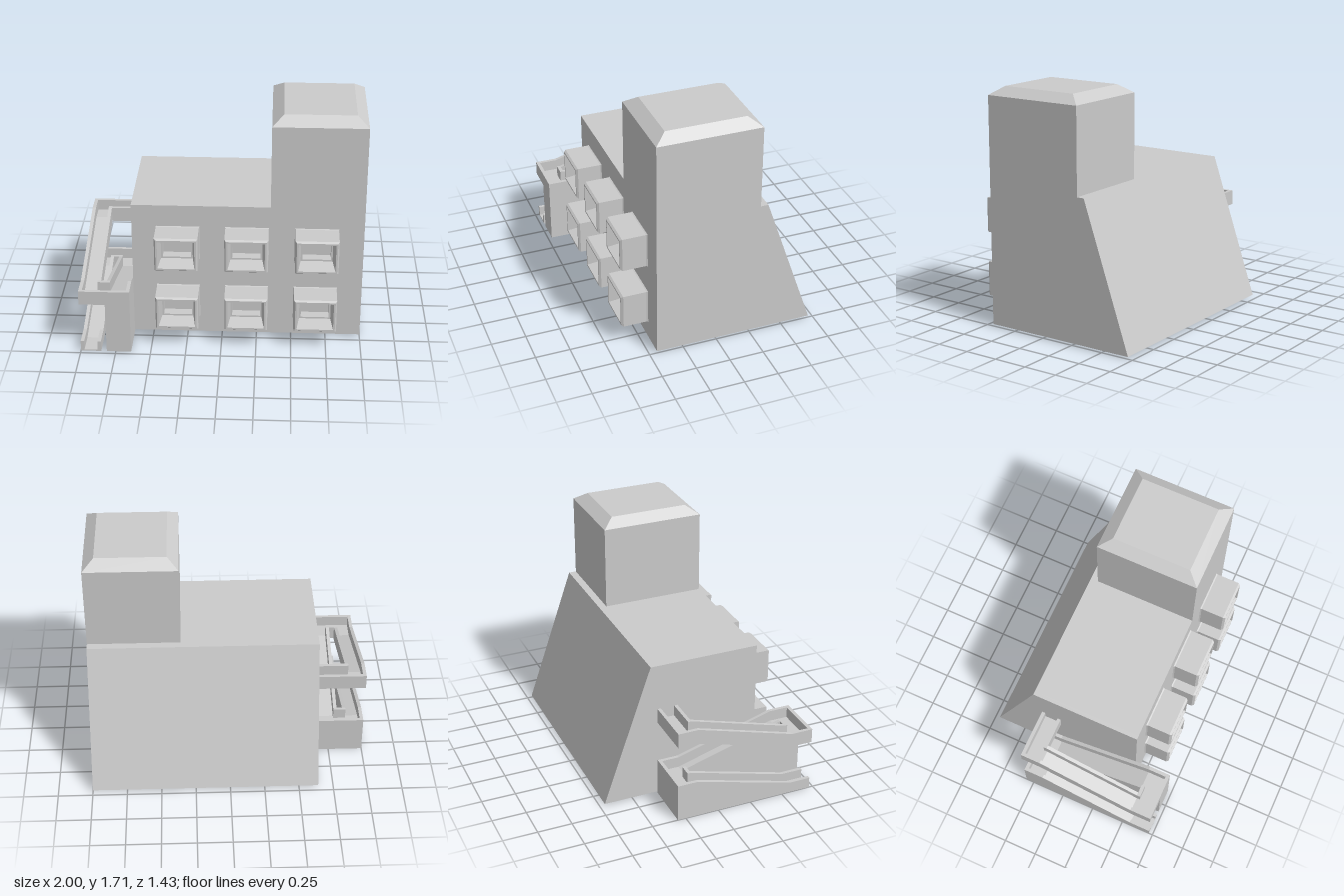
import * as THREE from 'three';

const mat = new THREE.MeshStandardMaterial({ color: 0xcccccc, flatShading: true });

function add(parent, name, geometry) {
  const mesh = new THREE.Mesh(geometry, mat);
  mesh.name = name;
  parent.add(mesh);
  return mesh;
}

// Box given by its limits on each axis
function box(parent, name, x0, x1, y0, y1, z0, z1) {
  const g = new THREE.BoxGeometry(x1 - x0, y1 - y0, z1 - z0);
  g.translate((x0 + x1) / 2, (y0 + y1) / 2, (z0 + z1) / 2);
  return add(parent, name, g);
}

// Side profile of [z, y] points, extruded from x0 to x1
function prism(parent, name, points, x0, x1, hole) {
  const to2D = ([z, y]) => new THREE.Vector2(-z, y);
  const shape = new THREE.Shape(points.map(to2D));
  if (hole) shape.holes.push(new THREE.Path(hole.map(to2D)));
  const g = new THREE.ExtrudeGeometry(shape, { depth: x1 - x0, bevelEnabled: false });
  g.rotateY(Math.PI / 2).translate(x0, 0, 0);
  return add(parent, name, g);
}

// Skin over rectangles [halfWidth, halfHeight, z], closed at the last one
function rectLoft(rings) {
  const pos = [];
  const corners = ([w, h, z]) => [[-w, -h, z], [w, -h, z], [w, h, z], [-w, h, z]];
  const quad = (a, b, c, d) => pos.push(...a, ...b, ...c, ...a, ...c, ...d);
  for (let i = 0; i < rings.length - 1; i++) {
    const a = corners(rings[i]), b = corners(rings[i + 1]);
    for (let k = 0; k < 4; k++) {
      const n = (k + 1) % 4;
      quad(a[k], a[n], b[n], b[k]);
    }
  }
  quad(...corners(rings[rings.length - 1]));
  const g = new THREE.BufferGeometry();
  g.setAttribute('position', new THREE.Float32BufferAttribute(pos, 3));
  g.computeVertexNormals();
  return g;
}

function createBuilding() {
  const g = new THREE.Group();
  g.name = 'building';
  // Main block with sloping back; thin side wall carries the doorway
  const profile = [[0.445, 0.015], [0.445, 1.04], [-0.36, 1.04], [-0.715, 0.015]];
  const door = [[-0.18, 0.62], [-0.18, 0.84], [-0.285, 0.84], [-0.285, 0.62]];
  prism(g, 'mainBlock', profile, -0.61, 1);
  prism(g, 'doorWall', profile, -0.64, -0.61, door);

  // Tower with chamfered roof
  const tower = add(g, 'tower', rectLoft([
    [0.33, 0.375, 0.02], [0.33, 0.375, 1.65], [0.25, 0.288, 1.71],
  ]));
  tower.rotation.x = -Math.PI / 2;
  tower.position.set(0.67, 0, 0.07);

  // Projecting box windows with splayed recesses
  const windowGeometry = rectLoft([
    [0.158, 0.132, 0.44], [0.152, 0.127, 0.455], [0.152, 0.127, 0.625],
    [0.142, 0.117, 0.64], [0.13, 0.105, 0.64], [0.112, 0.08, 0.53],
    [0.1, 0.068, 0.53], [0.1, 0.068, 0.46],
  ]);
  for (const x of [-0.315, 0.175, 0.668]) {
    for (const y of [0.275, 0.748]) add(g, 'window', windowGeometry).position.set(x, y, 0);
  }
  return g;
}

function createStairs() {
  const g = new THREE.Group();
  g.name = 'stairs';
  const F = 0.72, f = 0.56, b = -0.16, B = -0.31; // front and back landing limits
  const out0 = -1, out1 = -0.855, in0 = -0.815, in1 = -0.64, t = 0.025;

  // Lower flight, solid to the ground
  prism(g, 'lowerFlight', [[F, 0], [F, 0.01], [f, 0.01], [b, 0.2], [b, 0]], out0 + t, out1 - t);
  prism(g, 'lowerOuterParapet',
    [[F, 0], [F, 0.08], [f, 0.08], [b, 0.28], [B, 0.28], [B, 0]], out0, out0 + t);
  prism(g, 'lowerInnerParapet', [[F, 0], [F, 0.08], [f, 0.08], [b, 0.28], [b, 0]], out1 - t, out1);

  // Back lower landing
  box(g, 'lowerLanding', out0 + t, in1, 0, 0.2, B + t, b);
  box(g, 'lowerLandingParapet', out0 + t, in1, 0, 0.28, B, B + t);
  box(g, 'lowerSlotParapet', out1 - t, in0 + t, 0.2, 0.28, b - t, b);

  // Middle flight beside the building, solid to the ground
  prism(g, 'middleFlight', [[b, 0], [b, 0.2], [f, 0.41], [F, 0.41], [F, 0]], in0 + t, in1 - t);
  prism(g, 'middleOuterParapet',
    [[b, 0], [b, 0.28], [f, 0.49], [f, 0.41], [F, 0.41], [F, 0]], in0, in0 + t);
  prism(g, 'middleWallParapet',
    [[B, 0], [B, 0.28], [b, 0.28], [f, 0.49], [F, 0.49], [F, 0]], in1 - t, in1);

  // Front middle landing
  box(g, 'middleLanding', out0 + t, in1 - t, 0.385, 0.41, f, F - t);
  box(g, 'middleLandingParapet', out0 + t, in1 - t, 0.385, 0.49, F - t, F);
  box(g, 'middleSlotParapet', out1 - t, in0 + t, 0.385, 0.49, f, f + t);

  // Upper flight, open underneath
  prism(g, 'upperFlight', [[f, 0.385], [f, 0.41], [b, 0.62], [b, 0.59]], out0 + t, out1 - t);
  prism(g, 'upperOuterParapet', [
    [F, 0.385], [F, 0.49], [f, 0.49], [b, 0.7], [B, 0.7], [B, 0.59], [b, 0.59], [f, 0.385],
  ], out0, out0 + t);
  prism(g, 'upperInnerParapet', [[f, 0.385], [f, 0.49], [b, 0.7], [b, 0.59]], out1 - t, out1);

  // Back upper landing leading to the doorway
  box(g, 'upperLanding', out0 + t, in1, 0.59, 0.62, B + t, b);
  box(g, 'upperLandingParapet', out0 + t, in1, 0.59, 0.7, B, B + t);
  box(g, 'upperSlotParapet', out1 - t, in1, 0.62, 0.7, b - t, b);
  return g;
}

export function createModel() {
  const model = new THREE.Group();
  model.name = 'towerBuilding';
  model.add(createBuilding(), createStairs());
  return model;
}
